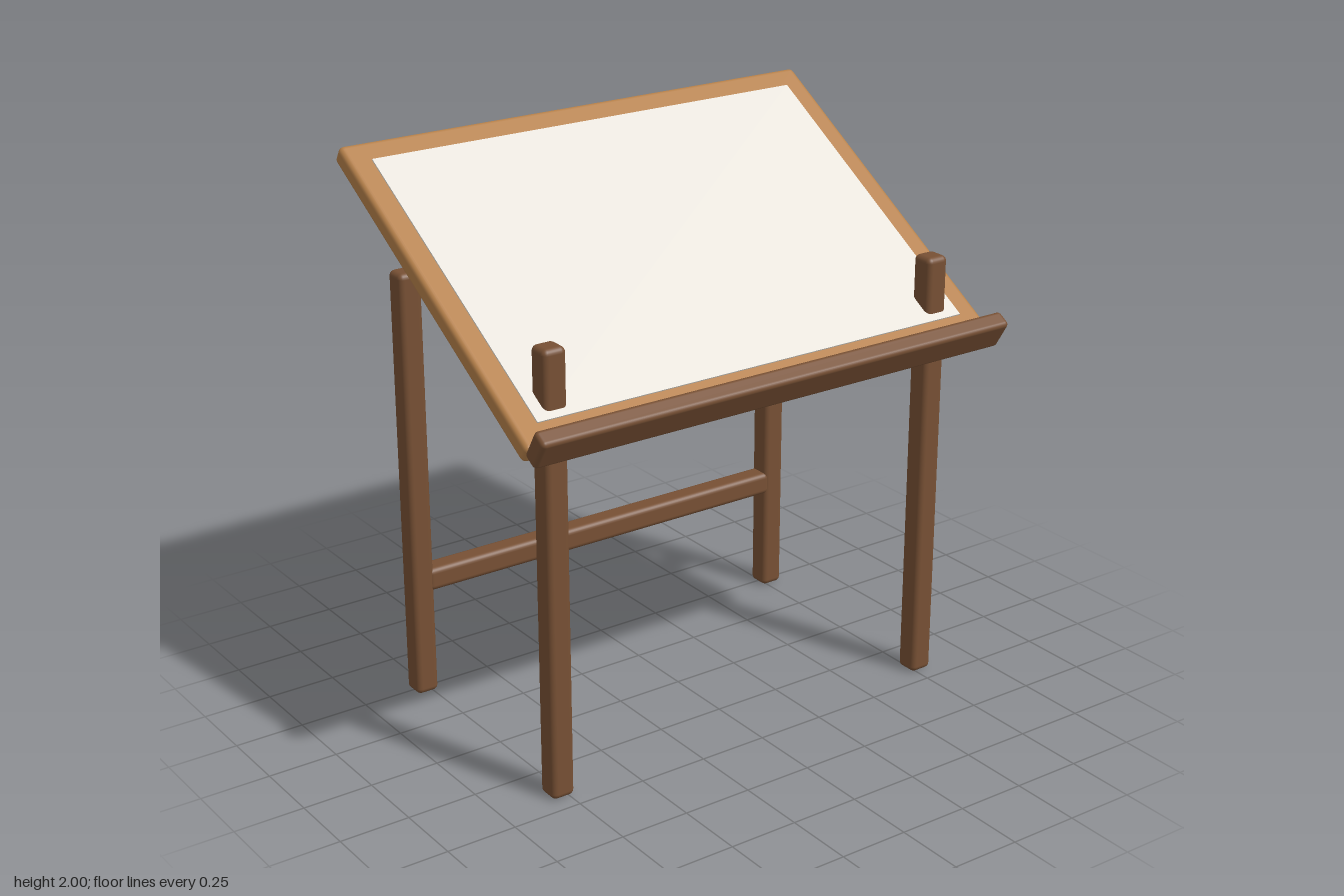
import * as THREE from 'three';
import { RoundedBoxGeometry } from 'three/addons/geometries/RoundedBoxGeometry.js';

export function createModel() {
  const model = new THREE.Group();
  model.name = 'draftingTable';

  const material = (name, color) => {
    const m = new THREE.MeshStandardMaterial({ color });
    m.name = name;
    return m;
  };
  const lightWood = material('lightWood', 0xb5804a);
  const darkWood = material('darkWood', 0x775034);
  const paper = material('paper', 0xe6e2da);

  const add = (name, geometry, mat, x, y, z, tilt = 0) => {
    const mesh = new THREE.Mesh(geometry, mat);
    mesh.name = name;
    mesh.position.set(x, y, z);
    mesh.rotation.x = tilt;
    model.add(mesh);
    return mesh;
  };
  const bar = (w, h, d, r) => new RoundedBoxGeometry(w, h, d, 3, r);

  // Four posts, the front pair passing through the board
  const postHeight = 1.575;
  const post = bar(0.085, postHeight, 0.085, 0.02);
  for (const [side, x] of [['left', 0.772], ['right', -0.772]]) {
    add(side + 'FrontLeg', post, darkWood, x, postHeight / 2, 0.4);
    add(side + 'BackLeg', post, darkWood, x, postHeight / 2, -0.49);
  }

  // Stretcher between the back posts
  add('backStretcher', bar(1.5, 0.085, 0.085, 0.02), darkWood, 0, 0.433, -0.49);

  // Tilted drawing board with its paper sheet on the upper face
  const tilt = 0.55;
  const thickness = 0.07;
  const boardY = 1.63, boardZ = -0.047;
  add('drawingBoard', bar(1.88, thickness, 1.33, 0.02), lightWood, 0, boardY, boardZ, tilt);
  const lift = thickness / 2 + 0.001;
  add('paperSheet', new THREE.BoxGeometry(1.715, 0.008, 1.155), paper,
    0, boardY + lift * Math.cos(tilt), boardZ + lift * Math.sin(tilt), tilt);

  // Pencil ledge along the low edge
  add('pencilLedge', bar(1.88, 0.12, 0.065, 0.016), darkWood, 0, 1.323, 0.572, tilt);

  return model;
}
